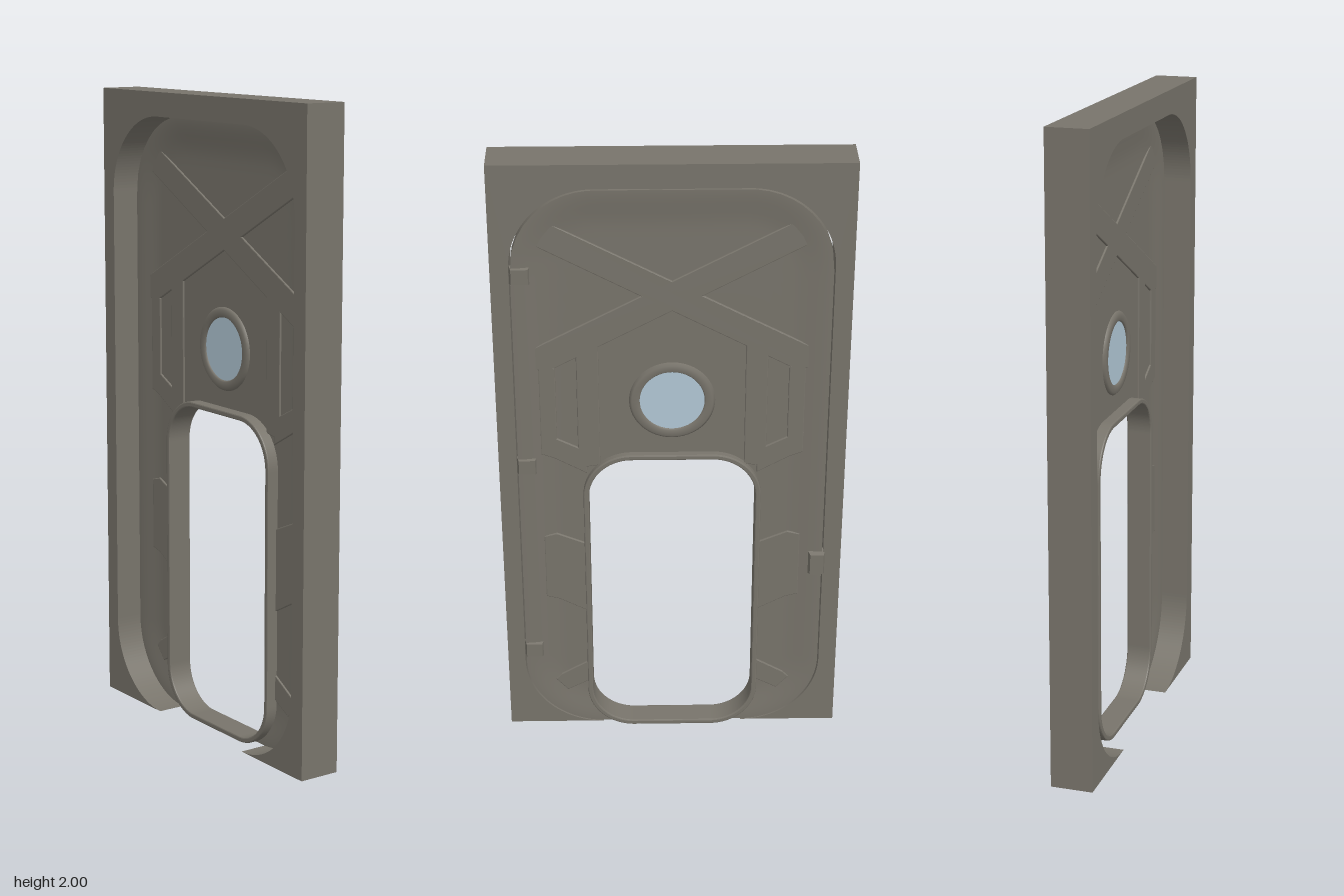
import * as THREE from 'three';

const grey = new THREE.MeshStandardMaterial({ color: 0x78746b });
grey.name = 'metalGrey';
const blue = new THREE.MeshStandardMaterial({ color: 0xb2c8d6 });
blue.name = 'paleGlass';

const DOOR_Z = -0.0375; // middle plane of the door leaf
const DOOR = { w: 0.471, y0: 0.012, y1: 1.921, r: 0.25 };
const HATCH = { w: 0.266, y0: 0.013, y1: 1.032, r: 0.14 };

function add(group, name, geometry, material = grey) {
  const mesh = new THREE.Mesh(geometry, material);
  mesh.name = name;
  group.add(mesh);
  return mesh;
}

function roundedRect(path, w, y0, y1, r) {
  path.moveTo(w, y0 + r);
  path.lineTo(w, y1 - r);
  path.absarc(w - r, y1 - r, r, 0, Math.PI / 2);
  path.absarc(-w + r, y1 - r, r, Math.PI / 2, Math.PI);
  path.absarc(-w + r, y0 + r, r, Math.PI, 1.5 * Math.PI);
  path.absarc(w - r, y0 + r, r, 1.5 * Math.PI, 2 * Math.PI);
  return path;
}

function extrude(shape, z0, z1, bevel = 0) {
  const g = new THREE.ExtrudeGeometry(shape, {
    depth: z1 - z0 - 2 * bevel, curveSegments: 20, bevelEnabled: bevel > 0,
    bevelThickness: bevel, bevelSize: bevel, bevelOffset: -bevel, bevelSegments: 2,
  });
  return g.translate(0, 0, z0 + bevel);
}

// Signed distance to a rounded rectangle, negative inside
function distance(o, x, y) {
  const qx = Math.abs(x) - o.w + o.r;
  const qy = Math.abs(y - (o.y0 + o.y1) / 2) - (o.y1 - o.y0) / 2 + o.r;
  return Math.hypot(Math.max(qx, 0), Math.max(qy, 0)) + Math.min(Math.max(qx, qy), 0) - o.r;
}

// Distance from the hatch centre to an outline along a ray
const CY = 0.5225;
function reach(o, a) {
  let lo = 0, hi = 2;
  for (let k = 0; k < 40; k++) {
    const m = (lo + hi) / 2;
    if (distance(o, m * Math.cos(a), CY + m * Math.sin(a)) < 0) lo = m; else hi = m;
  }
  return lo;
}

// Grid surface: point(i, j) runs around the ring by i and across it by j
function gridSurface(n, m, point, flip) {
  const pos = [], idx = [];
  for (let i = 0; i < n; i++) for (let j = 0; j <= m; j++) pos.push(...point(i, j));
  for (let i = 0; i < n; i++) for (let j = 0; j < m; j++) {
    const a = i * (m + 1) + j, c = ((i + 1) % n) * (m + 1) + j;
    if (flip) idx.push(a, c, a + 1, a + 1, c, c + 1);
    else idx.push(a, a + 1, c, a + 1, c + 1, c);
  }
  const g = new THREE.BufferGeometry();
  g.setAttribute('position', new THREE.Float32BufferAttribute(pos, 3));
  g.setIndex(idx);
  g.computeVertexNormals();
  return g;
}

// Leaf dished on both faces: thick at the rim, thin in the middle
function addLeaf(group) {
  const N = 256, M = 24, rays = [];
  for (let i = 0; i < N; i++) {
    const a = (i / N) * Math.PI * 2;
    rays.push({ a, inner: reach(HATCH, a), outer: reach(DOOR, a) });
  }
  const face = (side) => (i, j) => {
    const { a, inner, outer } = rays[i];
    const t = 1 - Math.pow(1 - j / M, 1.8);
    const r = inner + (outer - inner) * t;
    const x = r * Math.cos(a), y = CY + r * Math.sin(a);
    const s = THREE.MathUtils.smoothstep(-distance(DOOR, x, y), 0, 0.125);
    return [x, y, DOOR_Z + side * (0.0225 - 0.0115 * s)];
  };
  add(group, 'leafFront', gridSurface(N, M, face(1), false));
  add(group, 'leafBack', gridSurface(N, M, face(-1), true));
  add(group, 'leafRim', gridSurface(N, 1, (i, j) => face(j ? -1 : 1)(i, M), false));
}

// Raised plate on both faces of the leaf
function addRib(group, name, points) {
  const shape = new THREE.Shape(points.map(([x, y]) => new THREE.Vector2(x, y)));
  add(group, name, extrude(shape, DOOR_Z - 0.0165, DOOR_Z + 0.0165, 0.003));
}

// Box whose back face is smaller than its base
function taperedBlock(w, h, d, inset) {
  const g = new THREE.BoxGeometry(w, h, d).toNonIndexed();
  const p = g.attributes.position;
  for (let i = 0; i < p.count; i++) if (p.getZ(i) < 0) {
    p.setX(i, p.getX(i) - Math.sign(p.getX(i)) * inset);
    p.setY(i, p.getY(i) - Math.sign(p.getY(i)) * inset);
  }
  g.computeVertexNormals();
  return g;
}

export function createModel() {
  const model = new THREE.Group();
  model.name = 'bulkheadDoor';

  // Surrounding wall, open at the foot
  const wall = new THREE.Shape();
  wall.moveTo(0.53, 0.01);
  wall.lineTo(0.53, 2);
  wall.lineTo(-0.53, 2);
  wall.lineTo(-0.53, 0.01);
  wall.lineTo(-0.225, 0.01);
  wall.absarc(-0.225, 0.26, 0.25, 1.5 * Math.PI, Math.PI, true);
  wall.absarc(-0.225, 1.675, 0.25, Math.PI, Math.PI / 2, true);
  wall.absarc(0.225, 1.675, 0.25, Math.PI / 2, 0, true);
  wall.absarc(0.225, 0.26, 0.25, 0, -Math.PI / 2, true);
  add(model, 'wallFrame', extrude(wall, -0.061, 0.071));

  // Door leaf
  const door = new THREE.Group();
  door.name = 'door';
  model.add(door);
  addLeaf(door);

  // Crossed braces and side ribs
  for (const s of [1, -1]) {
    addRib(door, 'crossBrace', [
      [-0.41 * s, 1.325], [-0.36 * s, 1.325], [0.4 * s, 1.735], [0.4 * s, 1.83], [-0.41 * s, 1.4],
    ].map(([x, y]) => [x, y + 0.01]));
    const ribs = {
      sidePost: [[0.22, 1], [0.287, 0.99], [0.287, 1.42], [0.22, 1.42]],
      shoulder: [[0.28, 1.385], [0.36, 1.35], [0.4, 1.34], [0.4, 1.39], [0.28, 1.42]],
      sill: [[0.26, 1.05], [0.29, 1.065], [0.36, 1.1], [0.4, 1.11], [0.4, 1.04], [0.36, 1.025], [0.26, 0.97]],
      outerPost: [[0.35, 1.09], [0.4, 1.09], [0.4, 1.36], [0.35, 1.34]],
      middleBlock: [[0.265, 0.45], [0.36, 0.5], [0.4, 0.51], [0.4, 0.74], [0.36, 0.75], [0.265, 0.71]],
      footRib: [[0.265, 0.255], [0.36, 0.2], [0.38, 0.18], [0.34, 0.135], [0.265, 0.175]],
    };
    for (const [name, pts] of Object.entries(ribs)) addRib(door, name, pts.map(([x, y]) => [x * s, y]));
  }

  // Hatch surround
  const ring = roundedRect(new THREE.Shape(), 0.274, 0, 1.042, 0.15);
  ring.holes.push(roundedRect(new THREE.Path(), 0.257, 0.017, 1.025, 0.133));
  add(door, 'hatchSurround', extrude(ring, -0.071, 0.01, 0.004));

  // Round window with a rim
  const rim = [[0.098, -0.014], [0.102, -0.02], [0.122, -0.02], [0.13, -0.012],
    [0.13, 0.012], [0.122, 0.02], [0.102, 0.02], [0.098, 0.014], [0.098, -0.014]];
  const rimGeo = new THREE.LatheGeometry(rim.map(([x, y]) => new THREE.Vector2(x, y)), 48);
  add(door, 'windowRim', rimGeo.rotateX(Math.PI / 2)).position.set(0, 1.225, DOOR_Z);
  const glass = new THREE.CylinderGeometry(0.099, 0.099, 0.027, 48).rotateX(Math.PI / 2);
  add(door, 'windowGlass', glass, blue).position.set(0, 1.225, DOOR_Z);

  // Hinges, latch and top stop
  for (const y of [1.65, 1.0, 0.305]) {
    add(model, 'hinge', taperedBlock(0.062, 0.06, 0.02, 0.006)).position.set(0.444, y, -0.0565);
  }
  add(model, 'latch', taperedBlock(0.06, 0.09, 0.03, 0.009)).position.set(-0.455, 0.635, -0.06);
  add(model, 'topStop', new THREE.BoxGeometry(0.13, 0.012, 0.03)).position.set(0, 1.923, -0.04);

  return model;
}
